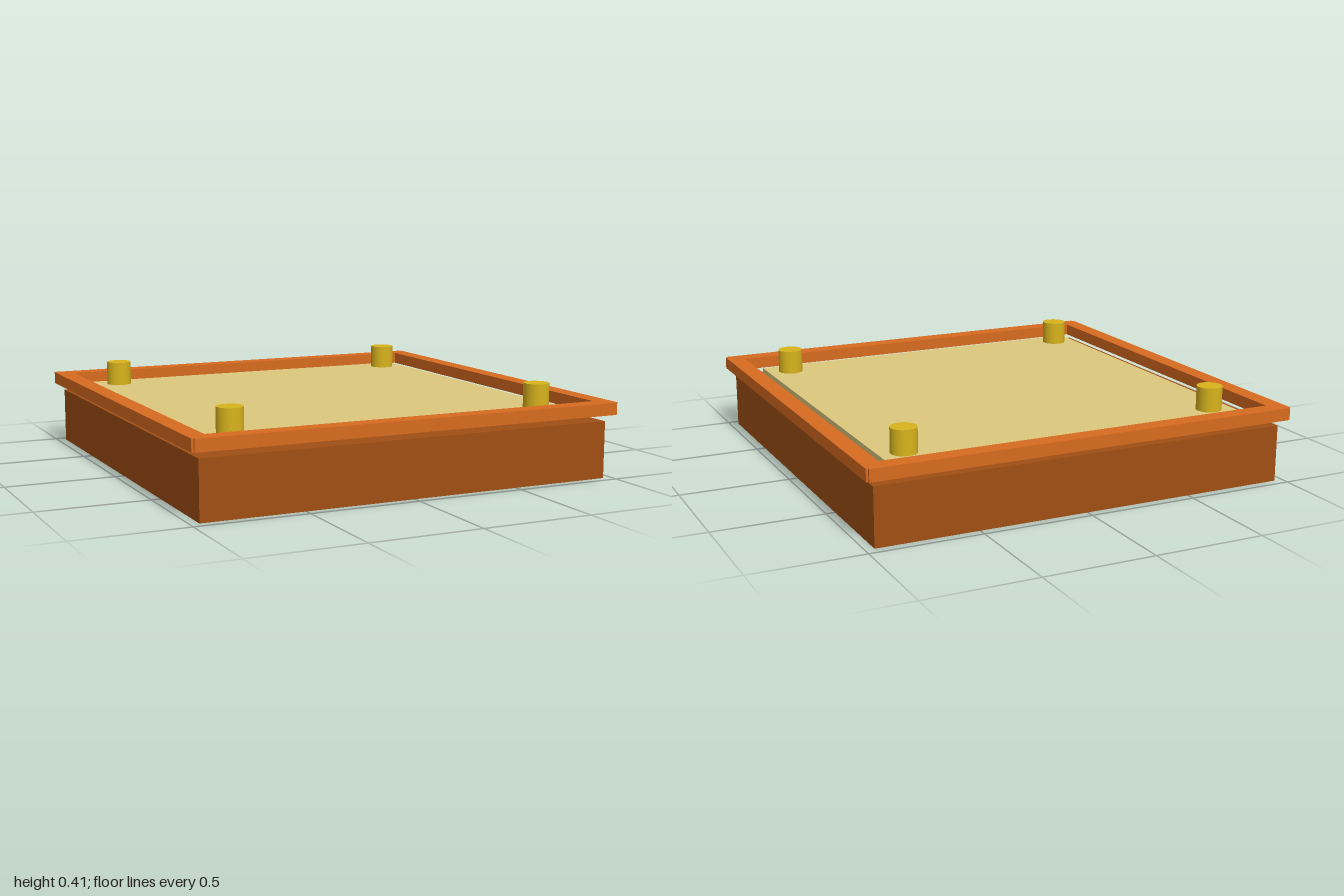
import * as THREE from 'three';

export function createModel() {
  const model = new THREE.Group();
  const mat = (color) => new THREE.MeshStandardMaterial({ color });
  const darkWood = mat(0xa04f14);
  const wood = mat(0xd86b20);
  const sand = mat(0xdcc87e);
  const brass = mat(0xd8b31c);

  const add = (name, geometry, material, x, y, z) => {
    const mesh = new THREE.Mesh(geometry, material);
    mesh.name = name;
    mesh.position.set(x, y, z);
    model.add(mesh);
    return mesh;
  };

  // Solid base and the inset panel resting on it
  add('base', new THREE.BoxGeometry(1.92, 0.258, 1.92), darkWood, 0, 0.129, 0);
  add('panel', new THREE.BoxGeometry(1.7, 0.047, 1.7), sand, 0, 0.2815, 0);

  // Raised rim: two full bars and two bars fitted between them,
  // with tiny notches at the outer corners
  const rim = new THREE.Shape();
  const o = 1, n = 0.99, i = 0.92;
  [[n, o], [-n, o], [-n, n], [-o, n], [-o, -n], [-n, -n], [-n, -o],
    [n, -o], [n, -n], [o, -n], [o, n], [n, n]].forEach(([x, y], k) =>
    k ? rim.lineTo(x, y) : rim.moveTo(x, y));
  rim.closePath();
  const opening = new THREE.Path();
  opening.moveTo(-i, -i).lineTo(-i, i).lineTo(i, i).lineTo(i, -i).closePath();
  rim.holes.push(opening);
  const rimGeometry = new THREE.ExtrudeGeometry(rim, { depth: 0.055, bevelEnabled: false });
  rimGeometry.rotateX(-Math.PI / 2);
  add('rimFrame', rimGeometry, wood, 0, 0.29, 0);

  // Corner pegs
  const peg = new THREE.CylinderGeometry(0.058, 0.058, 0.115, 24);
  for (const x of [-0.74, 0.74]) {
    for (const z of [-0.74, 0.74]) add('cornerPeg', peg, brass, x, 0.3575, z);
  }

  return model;
}
